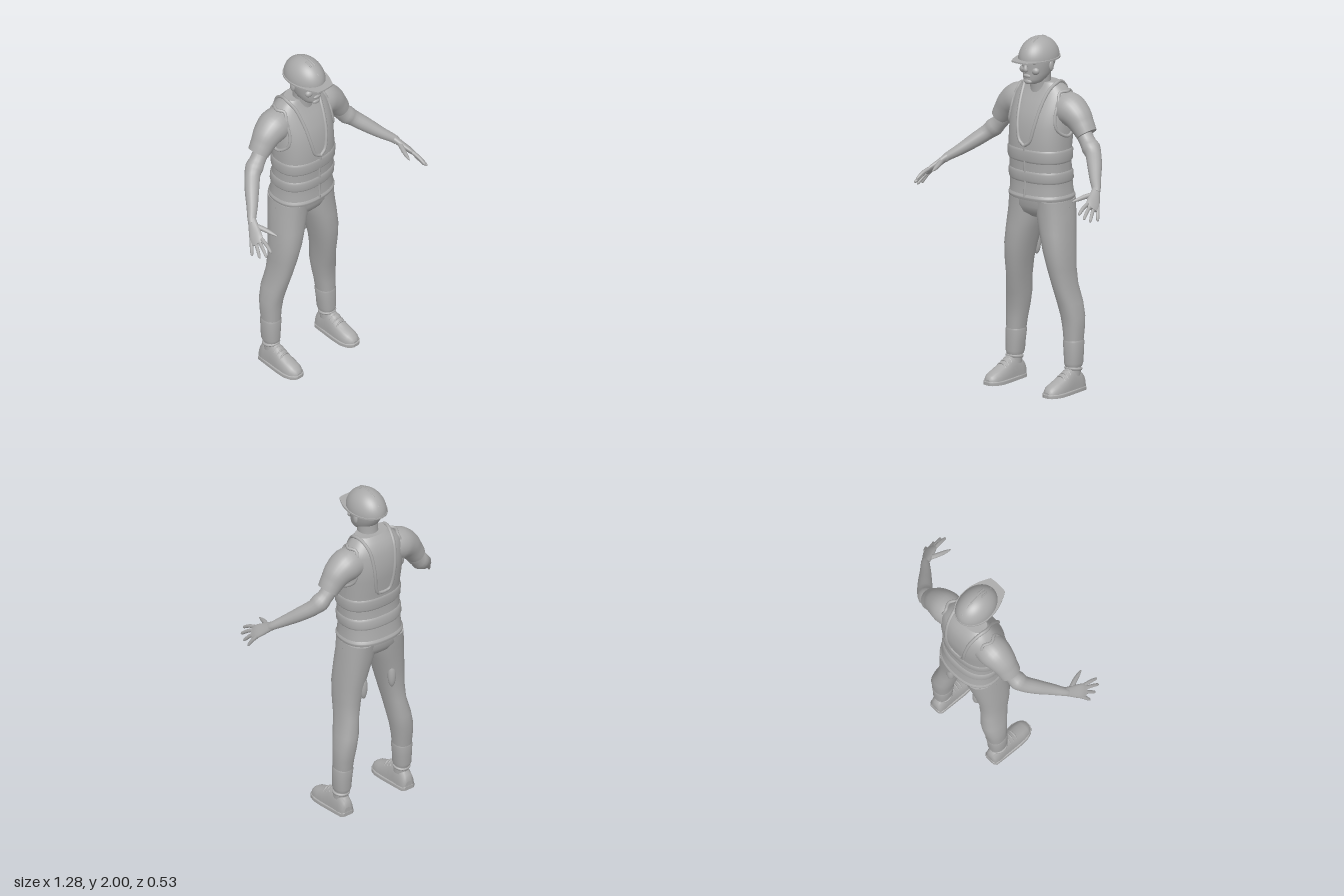
import * as THREE from 'three';

const V = (x, y, z) => new THREE.Vector3(x, y, z);
const spow = (v, p) => Math.sign(v) * Math.pow(Math.abs(v), p);

// Skin over a list of closed rings, with flat caps, always facing outward
function loft(rings) {
  const n = rings[0].length, pos = [], idx = [];
  const put = (p) => pos.push(p.x, p.y, p.z);
  rings.forEach((r) => r.forEach(put));
  for (let i = 0; i < rings.length - 1; i++)
    for (let j = 0; j < n; j++) {
      const a = i * n + j, b = i * n + (j + 1) % n;
      idx.push(a, b, a + n, b, b + n, a + n);
    }
  [rings[0], rings[rings.length - 1]].forEach((r, k) => {
    const base = pos.length / 3;
    r.forEach(put);
    put(r.reduce((s, p) => s.add(p), V(0, 0, 0)).divideScalar(n));
    for (let j = 0; j < n; j++) {
      const a = base + j, b = base + (j + 1) % n;
      idx.push(...(k ? [a, b, base + n] : [b, a, base + n]));
    }
  });
  let vol = 0;
  const p = (i) => V(pos[i * 3], pos[i * 3 + 1], pos[i * 3 + 2]);
  for (let i = 0; i < idx.length; i += 3) vol += p(idx[i]).dot(p(idx[i + 1]).cross(p(idx[i + 2])));
  if (vol < 0) idx.reverse();
  const g = new THREE.BufferGeometry();
  g.setAttribute('position', new THREE.Float32BufferAttribute(pos, 3));
  g.setIndex(idx);
  g.computeVertexNormals();
  return g;
}

// Horizontal rounded section: y, x from/to, z front/back
function section(y, x0, x1, zf, zb, e = 2.3, n = 32) {
  return Array.from({ length: n }, (_, i) => {
    const a = (i / n) * Math.PI * 2;
    return V((x0 + x1) / 2 + (x1 - x0) / 2 * spow(Math.cos(a), 2 / e), y,
      (zf + zb) / 2 + (zf - zb) / 2 * spow(Math.sin(a), 2 / e));
  });
}

// Tapered limb through points [x, y, z, r1, r2]; r1 lies along ref
function limb(pts, ref = V(0, 0, 1), steps = 16, n = 16) {
  const path = new THREE.CatmullRomCurve3(pts.map((p) => V(p[0], p[1], p[2])));
  const rad = new THREE.CatmullRomCurve3(pts.map((p) => V(p[3], p[4] ?? p[3], 0)));
  return loft(Array.from({ length: steps + 1 }, (_, i) => {
    const c = path.getPoint(i / steps), t = path.getTangent(i / steps), r = rad.getPoint(i / steps);
    const a = ref.clone().addScaledVector(t, -ref.dot(t)).normalize(), b = t.cross(a);
    return Array.from({ length: n }, (_, j) => {
      const q = (j / n) * Math.PI * 2;
      return c.clone().addScaledVector(a, r.x * Math.cos(q)).addScaledVector(b, r.y * Math.sin(q));
    });
  }));
}

const tube = (pts, r, closed = false) =>
  new THREE.TubeGeometry(new THREE.CatmullRomCurve3(pts, closed), 48, r, 8, closed);
const ball = (x, y, z, rx, ry, rz) =>
  new THREE.SphereGeometry(1, 20, 14).scale(rx, ry, rz).translate(x, y, z);

// Vest profile: y, half width, front z, back z
const VEST = [
  [1.095, .187, .03, -.265], [1.15, .181, .025, -.255], [1.2, .18, .025, -.25], [1.3, .182, .03, -.238],
  [1.4, .185, .035, -.245], [1.5, .188, .025, -.26], [1.58, .186, .005, -.262], [1.65, .182, -.03, -.25],
  [1.69, .163, -.052, -.235], [1.72, .13, -.065, -.215], [1.745, .1, -.072, -.19]];
const EXP = 2.4;
function vestAt(y) {
  const i = Math.max(0, Math.min(VEST.length - 2, VEST.findIndex((s) => s[0] >= y) - 1));
  const k = (y - VEST[i][0]) / (VEST[i + 1][0] - VEST[i][0]);
  return VEST[i].map((v, j) => v + (VEST[i + 1][j] - v) * k);
}
// Point on the vest surface; side is 1 for front, -1 for back
function onVest(x, y, side) {
  const [, w, f, b] = vestAt(y);
  const d = Math.pow(Math.max(0, 1 - Math.pow(Math.abs(x / w), EXP)), 1 / EXP);
  return V(x, y, (f + b) / 2 + side * (f - b) / 2 * d);
}
function vestBand(y0, y1, o) {
  return loft([[y0, 0], [y0 + .012, o], [y1 - .012, o], [y1, 0]].map(([y, off]) => {
    const [, w, f, b] = vestAt(y);
    return section(y, -w - off, w + off, f + off, b - off, EXP, 48);
  }));
}

export function createModel() {
  const model = new THREE.Group();
  model.name = 'worker';
  const grey = new THREE.MeshStandardMaterial({ color: 0xaaaaaa, side: THREE.DoubleSide });
  grey.name = 'plain grey';
  const add = (name, geo) => {
    const m = new THREE.Mesh(geo, grey);
    m.name = name;
    model.add(m);
  };
  // Adds a part on the left (+x) and its mirror image on the right
  const pair = (name, geo) => {
    add('left ' + name, geo);
    const g = geo.clone().scale(-1, 1, 1);
    g.setIndex(Array.from(geo.index.array).reverse());
    add('right ' + name, g);
  };

  // Vest with raised bands and hem
  add('vest', loft(VEST.map(([y, w, f, b]) => section(y, -w, w, f, b, EXP, 48))));
  add('upper band', vestBand(1.3, 1.375, .007));
  add('lower band', vestBand(1.185, 1.25, .007));
  add('hem', vestBand(1.085, 1.115, .005));
  add('zip', tube([1.39, 1.3, 1.2, 1.1].map((y) => onVest(0, y, 1)), .007));
  const front = [[0, 1.395], [.035, 1.42], [.058, 1.5], [.073, 1.6], [.09, 1.7]];
  const back = [[.085, 1.69], [.07, 1.56], [.056, 1.45], [.04, 1.412], [0, 1.405]];
  pair('collar trim', tube([...front.map((p) => onVest(...p, 1)), V(.108, 1.744, -.12),
    V(.1, 1.742, -.165), ...back.map((p) => onVest(...p, -1))], .01));
  const hole = [[.145, 1.695], [.158, 1.64], [.158, 1.57], [.17, 1.5]];
  pair('armhole trim', tube([V(.166, 1.7, -.14), ...hole.map((p) => onVest(...p, 1)), V(.192, 1.455, -.11),
    ...hole.reverse().map((p) => onVest(...p, -1))], .009, true));

  // Arms
  pair('sleeve', limb([[.11, 1.605, -.145, .085, .085], [.18, 1.6, -.143, .093, .094],
    [.235, 1.57, -.14, .083, .082], [.275, 1.525, -.138, .07, .068], [.308, 1.48, -.137, .063, .057]], undefined, 20, 24));
  pair('arm', limb([[.28, 1.49, -.135, .045], [.32, 1.44, -.13, .045], [.37, 1.392, -.115, .045], [.43, 1.337, -.06, .041],
    [.49, 1.283, .005, .032], [.54, 1.243, .055, .024], [.55, 1.23, .07, .022]], undefined, 22));

  // Hands
  const spread = V(-.41, .41, .82);
  pair('palm', limb([[.54, 1.245, .055, .023, .02], [.562, 1.214, .095, .033, .018],
    [.586, 1.183, .138, .042, .016], [.6, 1.163, .165, .036, .01]], spread, 10));
  const tips = [[.587, 1.148, .262], [.612, 1.122, .25], [.626, 1.102, .21], [.637, 1.098, .158]];
  tips.forEach((t, i) => {
    const k = .033 - i * .022;
    const b = V(.59, 1.178, .145).addScaledVector(spread, k), e = V(...t), m = b.clone().lerp(e, .5);
    m.y += .006;
    pair('finger ' + (i + 1), limb([[...b, .011], [...m, .0105], [...b.clone().lerp(e, .93), .008], [...e, .002]],
      V(.7, .7, 0), 8, 8));
  });
  pair('thumb', limb([[.553, 1.226, .085, .015], [.53, 1.217, .14, .014], [.515, 1.207, .185, .011], [.505, 1.2, .22, .003]],
    V(1, 0, 0), 8, 8));

  // Trousers with gathered cuffs and raised thigh patches
  add('hips', loft([[1.14, .175, .01, -.24], [1.09, .184, .008, -.252], [1.04, .192, .002, -.25],
    [1.0, .16, -.015, -.225], [.97, .07, -.06, -.17]].map(([y, w, f, b]) => section(y, -w, w, f, b))));
  pair('trouser leg', loft([[1.08, .004, .186, .004, -.25], [1.0, .004, .198, -.003, -.238], [.9, .032, .208, 0, -.222],
    [.8, .06, .217, 0, -.21], [.7, .085, .22, -.015, -.198], [.6, .108, .223, -.036, -.205], [.5, .122, .246, -.062, -.22],
    [.42, .136, .26, -.08, -.218], [.35, .148, .262, -.086, -.208], [.27, .158, .257, -.088, -.198]].map((s) => section(...s))));
  pair('trouser cuff', loft([[.295, .158, .256, -.09, -.195], [.28, .152, .263, -.084, -.203], [.22, .158, .262, -.086, -.197],
    [.16, .163, .26, -.084, -.195], [.14, .168, .254, -.09, -.188]].map((s) => section(...s))));
  pair('thigh patch', ball(.1, .79, -.192, .024, .075, .022));

  // Shoes: arched sections along z, on a flat sole
  const shoe = (list, e) => loft(list.map(([z, w, h]) => Array.from({ length: 24 }, (_, i) => {
    const a = (i / 24) * Math.PI * 2, s = Math.sin(a);
    return V(.214 + w * spow(Math.cos(a), e), s > 0 ? h * Math.pow(s, e) : 0, z);
  })));
  pair('shoe', shoe([[-.2, .028, .05], [-.194, .04, .09], [-.16, .046, .125], [-.11, .047, .14], [-.075, .05, .13],
    [-.03, .053, .102], [.02, .055, .08], [.06, .05, .066], [.083, .036, .05], [.092, .018, .03]], .8));
  pair('sole', shoe([[-.203, .03, .022], [-.19, .046, .022], [-.13, .052, .022], [-.03, .061, .022], [.03, .062, .022],
    [.07, .05, .022], [.09, .034, .022], [.098, .018, .018]], .25));
  pair('ankle', limb([[.212, .18, -.14, .045, .04], [.212, .13, -.135, .046, .042], [.212, .09, -.13, .045, .042]]));
  pair('shoe collar', new THREE.TorusGeometry(.043, .008, 8, 24).rotateX(Math.PI / 2 - .12).translate(.213, .128, -.135));
  [[-.075, .122], [-.05, .11], [-.025, .099]].forEach(([z, y], i) => pair('lace ' + (i + 1),
    tube([V(.18, y - .02, z), V(.2, y + .001, z), V(.228, y + .001, z), V(.248, y - .02, z)], .005)));

  // Neck, head and face
  add('neck', limb([[0, 1.67, -.12, .075, .075], [0, 1.73, -.105, .06, .058], [0, 1.82, -.1, .062, .06]], undefined, 10, 24));
  add('head', loft([[1.74, .025, -.01, -.07], [1.748, .043, .004, -.1], [1.77, .06, .012, -.135], [1.8, .071, .01, -.165],
    [1.83, .078, .014, -.183], [1.86, .084, .014, -.195], [1.9, .086, .016, -.2]].map(([y, w, f, b]) => section(y, -w, w, f, b, 2.15))));
  add('nose', limb([[0, 1.868, .008, .008, .008], [0, 1.845, .02, .011, .011], [0, 1.826, .025, .012, .016], [0, 1.817, .016, .006, .01]]));
  add('lips', ball(0, 1.79, .01, .026, .01, .01));
  add('chin', ball(0, 1.757, .001, .028, .016, .016));
  pair('brow', ball(.034, 1.866, .004, .027, .008, .012));
  pair('cheek', ball(.042, 1.82, -.012, .025, .022, .02));
  pair('ear', ball(.083, 1.84, -.1, .01, .03, .018));

  // Hard hat: dome, rim with front peak, top ridges
  add('helmet dome', new THREE.SphereGeometry(1, 40, 16, 0, Math.PI * 2, 0, Math.PI / 2)
    .scale(.1, .122, .134).translate(0, 1.876, -.092));
  const rim = new THREE.Shape();
  rim.absellipse(0, .092, .106, .136, 0, Math.PI, false);
  rim.bezierCurveTo(-.106, .04, -.1, .0, -.056, -.078);
  rim.quadraticCurveTo(0, -.088, .056, -.078);
  rim.bezierCurveTo(.1, 0, .106, .04, .106, .092);
  add('helmet brim', new THREE.ExtrudeGeometry(rim, { depth: .009, bevelEnabled: false, curveSegments: 24 })
    .rotateX(-Math.PI / 2).translate(0, 1.873, 0));
  const ridge = (x, a0, a1) => tube([0, .33, .67, 1].map((k) => {
    const a = a0 + (a1 - a0) * k;
    return V(x, 1.876 + .12 * Math.sin(a), -.092 + .132 * Math.cos(a));
  }), .005);
  add('helmet ridge', ridge(0, .55, 2.6));
  pair('helmet side ridge', ridge(.014, 1.0, 1.4));

  return model;
}
